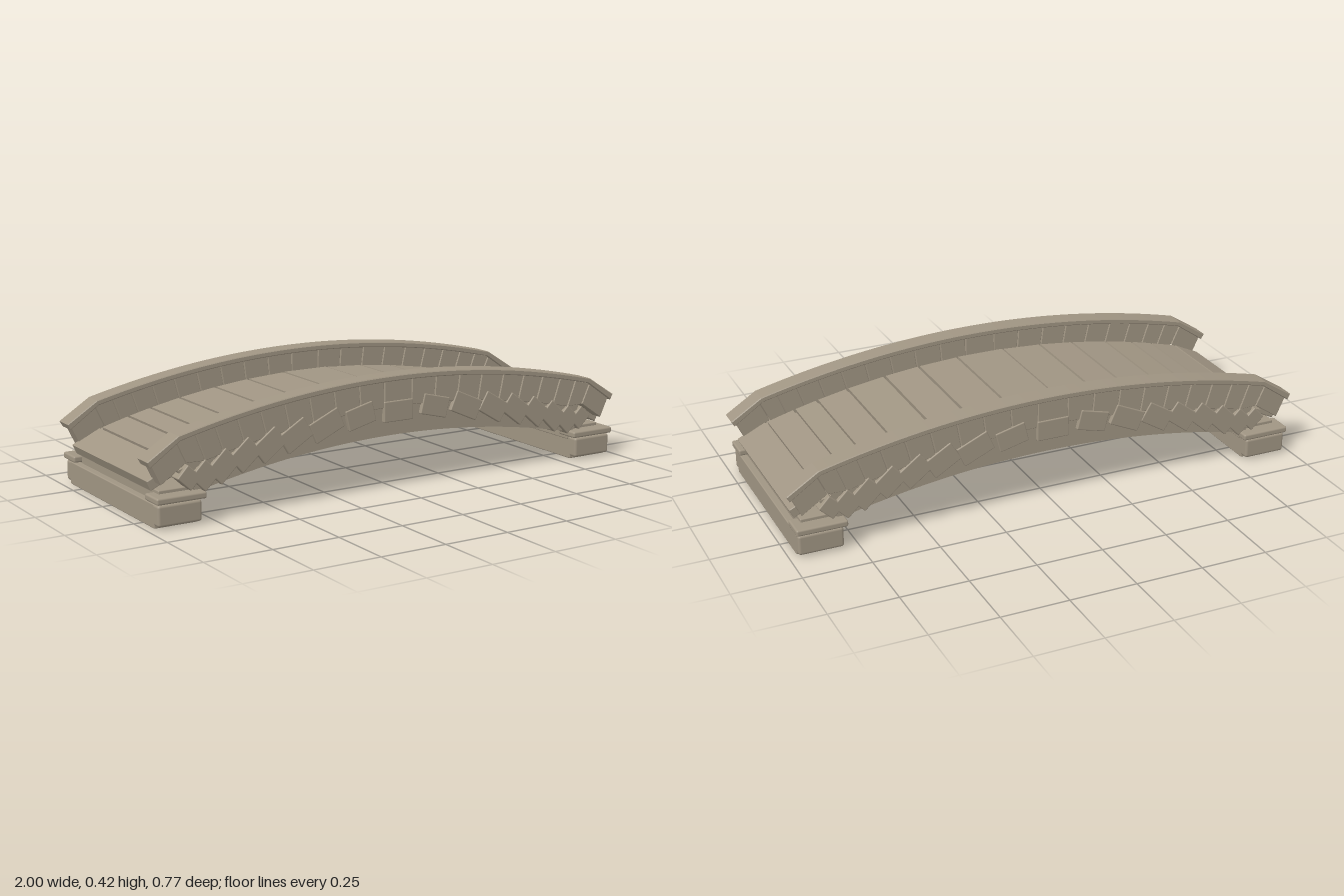
import * as THREE from 'three';
import { RoundedBoxGeometry } from 'three/addons/geometries/RoundedBoxGeometry.js';

export function createModel() {
  const bridge = new THREE.Group();
  bridge.name = 'archedStoneBridge';
  const stone = new THREE.MeshStandardMaterial({ color: 0xa09583 });
  stone.name = 'warm grey stone';

  // Curves of the rail top, the underside and the walking surface
  const railTop = x => {
    const a = Math.abs(x);
    return a <= 0.88 ? 0.42 - a * a * 0.142 : 0.31 - (a - 0.88) * 0.65;
  };
  const underside = x => 0.2 - x * x * 0.145;
  const deckTop = x => 0.33 - x * x * 0.165;

  const add = (name, geometry, parent = bridge) => {
    const mesh = new THREE.Mesh(geometry, stone);
    mesh.name = name;
    parent.add(mesh);
    return mesh;
  };

  const block = (name, w, h, d, x, y, z, tilt = 0, r = 0.005) => {
    const mesh = add(name, new RoundedBoxGeometry(w, h, d, 2, r));
    mesh.position.set(x, y, z);
    mesh.rotation.z = tilt;
    return mesh;
  };

  // Side-view outline extruded from z0 to z1
  const slab = (name, points, z0, z1, bevel = 0) => {
    const shape = new THREE.Shape(points.map(p => new THREE.Vector2(p[0], p[1])));
    const geometry = new THREE.ExtrudeGeometry(shape, {
      depth: z1 - z0 - 2 * bevel, bevelEnabled: bevel > 0, bevelSize: bevel,
      bevelThickness: bevel, bevelOffset: -bevel, bevelSegments: 1,
    });
    geometry.translate(0, 0, z0 + bevel);
    return add(name, geometry);
  };

  const arc = (f, from, to, n = 48) => Array.from({ length: n + 1 }, (_, i) => {
    const x = from + (to - from) * i / n;
    return [x, f(x)];
  });

  // Solid arch under the deck
  slab('archBody', [
    ...arc(underside, -0.81, 0.81),
    ...arc(x => deckTop(x) - 0.016, 0.88, -0.88),
  ], -0.342, 0.342);

  // Deck slabs, mirrored left and right, with narrow gaps
  const joints = [0.1, 0.26, 0.4, 0.55, 0.67, 0.76, 0.87, 0.975];
  const deckSlab = (a, b, half) => {
    const ya = deckTop(a), yb = b > 0.95 ? 0.155 : deckTop(b);
    const dx = b - a, dy = yb - ya, len = Math.hypot(dx, dy);
    const nx = dy / len * 0.038, ny = -dx / len * 0.038;
    return [[a, ya], [a + nx, ya + ny], [b + nx, yb + ny], [b, yb]];
  };
  slab('deckSlab', [[-0.092, 0.33], [-0.092, 0.295], [0.092, 0.295], [0.092, 0.33]], -0.295, 0.295, 0.003);
  for (const s of [1, -1]) {
    for (let i = 0; i < joints.length - 1; i++) {
      const last = i === joints.length - 2;
      const outline = deckSlab(joints[i], joints[i + 1] - (last ? 0 : 0.01));
      const z = last ? 0.305 : 0.295;
      slab('deckSlab', outline.map(p => [p[0] * s, p[1]]), -z, z, 0.003);
    }
  }

  // Each entry: x, y, tilt in degrees, width, height
  const faceStones = [
    [0.16, 0.288, -14, 0.115, 0.076], [0.3, 0.272, -24, 0.125, 0.078],
    [0.425, 0.252, -31, 0.115, 0.08], [0.53, 0.232, -37, 0.11, 0.08],
    [0.625, 0.21, -41, 0.1, 0.08], [0.71, 0.182, -44, 0.1, 0.08],
    [0.78, 0.16, -45, 0.08, 0.08], [0.84, 0.16, -47, 0.06, 0.07],
  ];
  const wallJoints = [0.06, 0.165, 0.27, 0.37, 0.47, 0.565, 0.655, 0.74, 0.815, 0.885, 0.982];

  for (const side of [1, -1]) {
    const span = (a, b) => side > 0 ? [a, b] : [-b, -a];

    // Rail coping, with the steeper sloping ends
    slab('railCoping', [
      ...arc(railTop, -0.88, 0.88), [0.998, 0.235], [0.986, 0.214],
      ...arc(x => railTop(x) - 0.02, 0.873, -0.873), [-0.986, 0.214], [-0.998, 0.235],
    ], ...span(0.285, 0.36), 0.003);

    // Backing wall between arch and coping
    slab('parapetCore', [
      ...arc(x => deckTop(x) - 0.03, -0.83, 0.83),
      ...arc(x => railTop(x) - 0.015, 0.87, -0.87),
    ], ...span(0.302, 0.346));

    // Upper course of wedge-shaped wall stones
    const wallStone = (a, b, s) => {
      const g = 0.0015;
      const foot = (x) => {
        const lean = x > 0.85 ? 0.036 : x * 0.045;
        return [x - lean, railTop(x) - (x > 0.85 ? 0.095 : 0.115)];
      };
      const fa = foot(a), fb = foot(b);
      const points = [[a + g, railTop(a) - 0.018], [fa[0] + g, fa[1]],
        [fb[0] - g, fb[1]], [b - g, railTop(b) - 0.018]];
      slab('wallStone', points.map(p => [p[0] * s, p[1]]), ...span(0.294, 0.352), 0.002);
    };
    slab('wallStone', [[-0.058, 0.403], [-0.058, 0.31], [0.058, 0.31], [0.058, 0.403]],
      ...span(0.294, 0.352), 0.002);
    for (const s of [1, -1]) {
      for (let i = 0; i < wallJoints.length - 1; i++) wallStone(wallJoints[i], wallJoints[i + 1], s);
    }

    // Lower course of tilted face stones
    block('keystone', 0.124, 0.076, 0.05, 0, 0.289, side * 0.332, 0, 0.004);
    for (const s of [1, -1]) {
      for (const [x, y, deg, w, h] of faceStones) {
        block('faceStone', w, h, 0.05, x * s, y, side * 0.332, THREE.MathUtils.degToRad(deg) * s, 0.004);
      }
    }

    // Pier end blocks and their flat caps
    for (const s of [1, -1]) {
      block('pierEndBlock', 0.165, 0.076, 0.05, s * 0.887, 0.048, side * 0.35, 0, 0.01);
      block('pierCap', 0.187, 0.024, 0.095, s * 0.883, 0.101, side * 0.336, 0, 0.007);
    }
  }

  // Footings across the bridge at both ends
  for (const s of [1, -1]) {
    block('footing', 0.165, 0.085, 0.684, s * 0.887, 0.0425, 0, 0, 0.004);
    block('footingStep', 0.145, 0.05, 0.66, s * 0.872, 0.1, 0, 0, 0.004);
  }

  return bridge;
}
